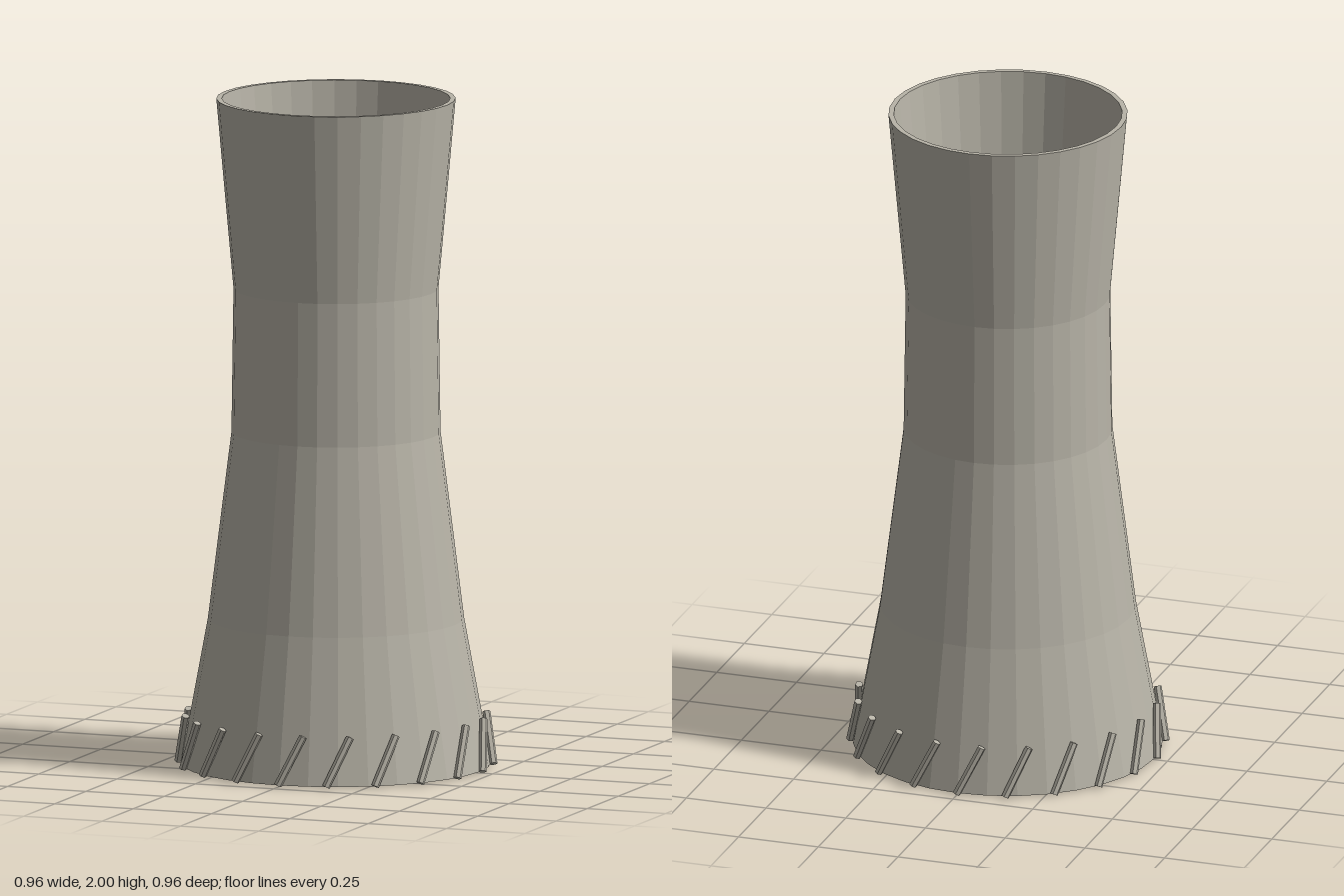
import * as THREE from 'three';

const SIDES = 32;
const STRUTS = 20;

export function createModel() {
  const concrete = new THREE.MeshStandardMaterial({ color: 0xb8b4a8, flatShading: true, side: THREE.DoubleSide });
  concrete.name = 'concrete';
  const water = new THREE.MeshStandardMaterial({ color: 0x336b87, flatShading: true });
  water.name = 'water';

  const tower = new THREE.Group();
  tower.name = 'coolingTower';

  // Thin hollow shell: up the outside, over the rim, down the inside
  const wall = 0.016;
  const outer = [[0.46, 0.005], [0.38, 0.44], [0.31, 1.0], [0.304, 1.43], [0.355, 2.0]];
  const inner = outer.map(([r, y]) => [r - wall, y]).reverse();
  const profile = [...outer, ...inner, outer[0]].map(([r, y]) => new THREE.Vector2(r, y));
  const shell = new THREE.Mesh(new THREE.LatheGeometry(profile, SIDES), concrete);
  shell.name = 'shell';
  tower.add(shell);

  // Water basin closing the base
  const basin = new THREE.Mesh(new THREE.CylinderGeometry(0.453, 0.453, 0.008, SIDES), water);
  basin.name = 'basin';
  basin.position.y = 0.008;
  tower.add(basin);

  // Ring of slanted struts leaning round the base
  const struts = new THREE.Group();
  struts.name = 'struts';
  const up = new THREE.Vector3(0, 1, 0);
  const at = (angle, r, y) => new THREE.Vector3(Math.sin(angle) * r, y, Math.cos(angle) * r);
  const step = (Math.PI * 2) / STRUTS;
  for (let i = 0; i < STRUTS; i++) {
    const foot = at(i * step, 0.468, 0.006);
    const head = at((i + 0.5) * step, 0.448, 0.152);
    const span = head.clone().sub(foot);
    const strut = new THREE.Mesh(new THREE.CylinderGeometry(0.012, 0.012, span.length(), 6), concrete);
    strut.name = 'strut';
    strut.position.copy(foot).add(head).multiplyScalar(0.5);
    strut.quaternion.setFromUnitVectors(up, span.normalize());
    struts.add(strut);
  }
  tower.add(struts);

  return tower;
}
